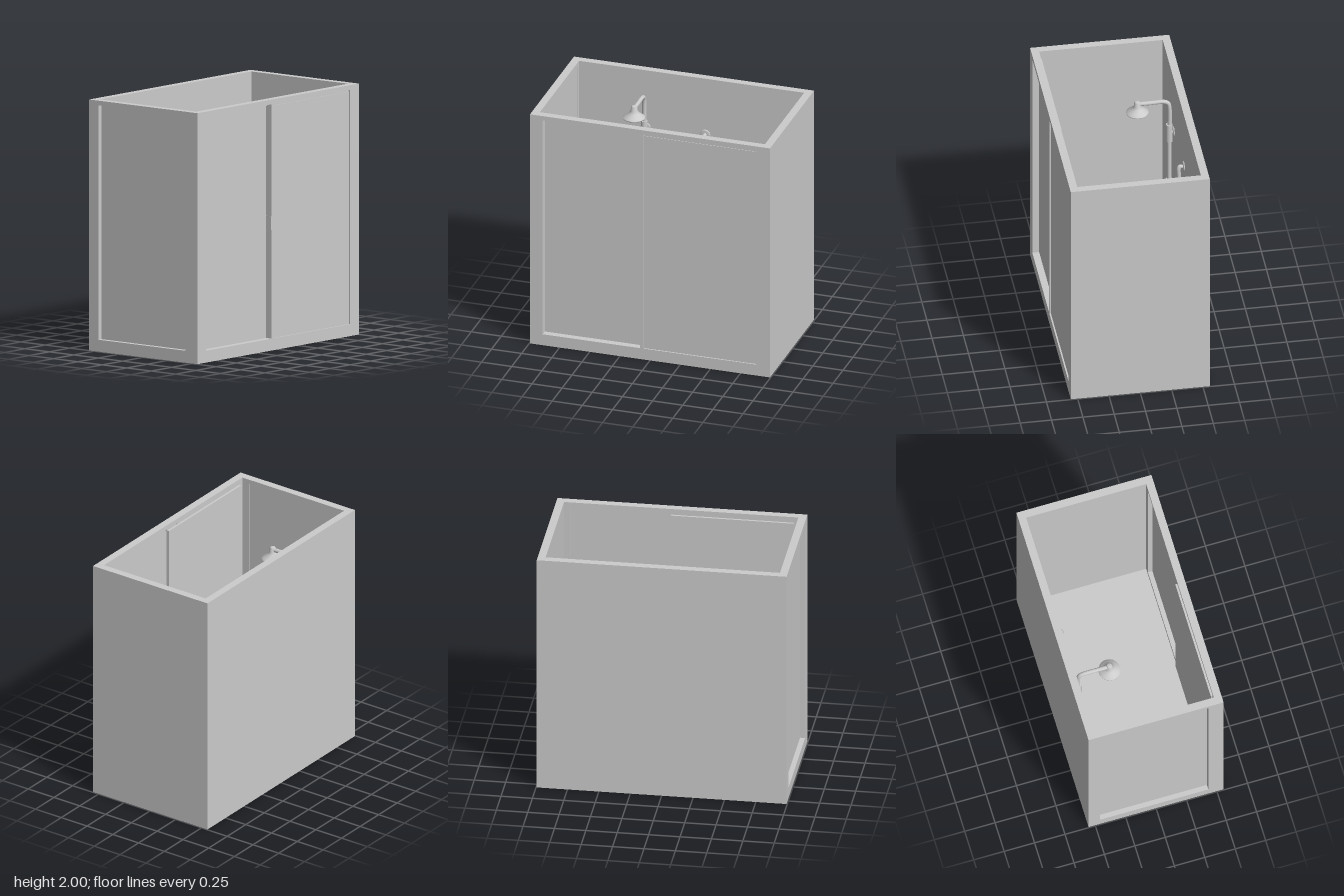
import * as THREE from 'three';

const material = new THREE.MeshStandardMaterial({ color: 0xcccccc });
const W = 0.995, D = 0.555, H = 2;       // half width, half depth, height
const IX = 0.933, IZ = 0.493;            // inner wall faces
const FLOOR = 0.05;

export function createModel() {
  const model = new THREE.Group();
  model.name = 'showerCabin';

  const add = (parent, name, geometry, x = 0, y = 0, z = 0) => {
    const mesh = new THREE.Mesh(geometry, material);
    mesh.name = name;
    mesh.position.set(x, y, z);
    parent.add(mesh);
    return mesh;
  };
  // Box given by its minimum and maximum corners
  const box = (parent, name, a, b) => add(parent, name,
    new THREE.BoxGeometry(b[0] - a[0], b[1] - a[1], b[2] - a[2]),
    (a[0] + b[0]) / 2, (a[1] + b[1]) / 2, (a[2] + b[2]) / 2);
  const rect = (Type, x0, y0, x1, y1) => new Type([
    [x0, y0], [x1, y0], [x1, y1], [x0, y1]].map(p => new THREE.Vector2(...p)));
  // Wall in the xy plane with rectangular openings
  const wall = (halfWidth, depth, openings) => {
    const shape = rect(THREE.Shape, -halfWidth, 0, halfWidth, H);
    openings.forEach(o => shape.holes.push(rect(THREE.Path, ...o)));
    return new THREE.ExtrudeGeometry(shape, { depth, bevelEnabled: false });
  };
  const cylinder = (r0, r1, h) => new THREE.CylinderGeometry(r0, r1, h, 32);
  const tube = (points, radius, segments = 48) => new THREE.TubeGeometry(
    new THREE.CatmullRomCurve3(points.map(p => new THREE.Vector3(...p)), false, 'centripetal'),
    segments, radius, 16);
  const lathe = points => new THREE.LatheGeometry(
    points.map(p => new THREE.Vector2(...p)), 40);

  // Cabin shell
  const shell = new THREE.Group();
  shell.name = 'shell';
  model.add(shell);
  box(shell, 'floor', [-IX, 0, -IZ], [IX, FLOOR, IZ]);
  box(shell, 'backWall', [-W, 0, -D], [W, H, -IZ]);
  box(shell, 'leftWall', [IX, 0, -IZ], [W, H, IZ]);
  add(shell, 'frontFrame', wall(W, D - IZ, [
    [-0.89, 0.095, -0.082, 1.963], [-0.052, 0.095, 0.885, 1.963]]), 0, 0, IZ);
  const windowFrame = add(shell, 'windowFrame',
    wall(IZ, W - IX, [[-0.46, 0.095, 0.43, 1.963]]), -IX, 0, 0);
  windowFrame.rotation.y = -Math.PI / 2;

  // Glazing: fixed front pane, sliding door and side window
  box(model, 'fixedPane', [-0.06, 0.09, 0.53], [0.89, 1.947, 0.543]);
  box(model, 'fixedPaneTopRail', [-0.06, 1.94, 0.525], [0.89, 1.967, 0.538]);
  box(model, 'slidingDoor', [-0.9, 0.085, 0.478], [0.08, 1.95, 0.5]);
  box(model, 'doorTopRail', [-0.895, 1.945, 0.496], [0.08, 1.968, 0.51]);
  box(model, 'doorHandle', [-0.084, 0.96, 0.498], [-0.076, 1.07, 0.553]);
  box(model, 'sideWindowPane', [-0.955, 0.09, -0.465], [-0.941, 1.968, 0.435]);

  // Shower column and overhead arm
  const shower = new THREE.Group();
  shower.name = 'shower';
  model.add(shower);
  const SX = -0.38, PZ = -0.455;
  add(shower, 'riserPipe', tube([[SX, 1.0, PZ], [SX, 1.4, PZ], [SX, 1.75, PZ],
    [SX, 1.785, PZ + 0.012], [SX, 1.8, PZ + 0.045], [SX, 1.8, -0.3], [SX, 1.8, -0.2]], 0.017, 80));
  add(shower, 'riserSleeve', cylinder(0.027, 0.027, 0.16), SX, 1.497, PZ);
  add(shower, 'riserFoot', cylinder(0.027, 0.02, 0.1), SX, 1.0, PZ);
  add(shower, 'showerHead', lathe([[0, 0], [0.084, 0], [0.088, 0.004], [0.088, 0.01],
    [0.065, 0.027], [0.042, 0.046], [0.028, 0.066], [0.024, 0.1], [0.016, 0.108], [0, 0.108]]),
    SX, 1.716, -0.2);

  // Round wall flanges with short stubs
  const flange = (name, x, y) => {
    const group = new THREE.Group();
    group.name = name;
    group.position.set(x, y, -IZ);
    group.rotation.x = Math.PI / 2;
    shower.add(group);
    add(group, 'plate', lathe([[0.041, 0], [0.041, 0.006], [0.034, 0.011], [0, 0.011]]));
    add(group, 'stub', cylinder(0.015, 0.015, 0.04), 0, 0.02, 0);
  };
  flange('upperBracket', SX, 1.505);
  flange('lowerBracket', SX, 1.0);
  flange('hoseOutlet', 0.115, 1.515);

  // Hose hanging between the outlet and the column foot
  add(shower, 'outletElbow', tube([[0.115, 1.515, -0.47], [0.115, 1.515, -0.458],
    [0.117, 1.5, -0.45], [0.117, 1.42, -0.45]], 0.017));
  add(shower, 'hose', tube([[0.117, 1.45, -0.45], [0.115, 1.1, -0.447], [0.07, 0.78, -0.444],
    [-0.13, 0.62, -0.442], [-0.32, 0.73, -0.446], [SX, 0.97, PZ]], 0.013, 80));

  // Mixer valve: tapered plate with a small knob
  const valve = new THREE.Group();
  valve.name = 'mixerValve';
  valve.position.set(0.383, 1.0, -IZ);
  valve.rotation.x = Math.PI / 2;
  model.add(valve);
  add(valve, 'plate', cylinder(0.085, 0.113, 0.03), 0, 0.014, 0);
  add(valve, 'knob', cylinder(0.01, 0.012, 0.018), 0, 0.036, 0);

  return model;
}
